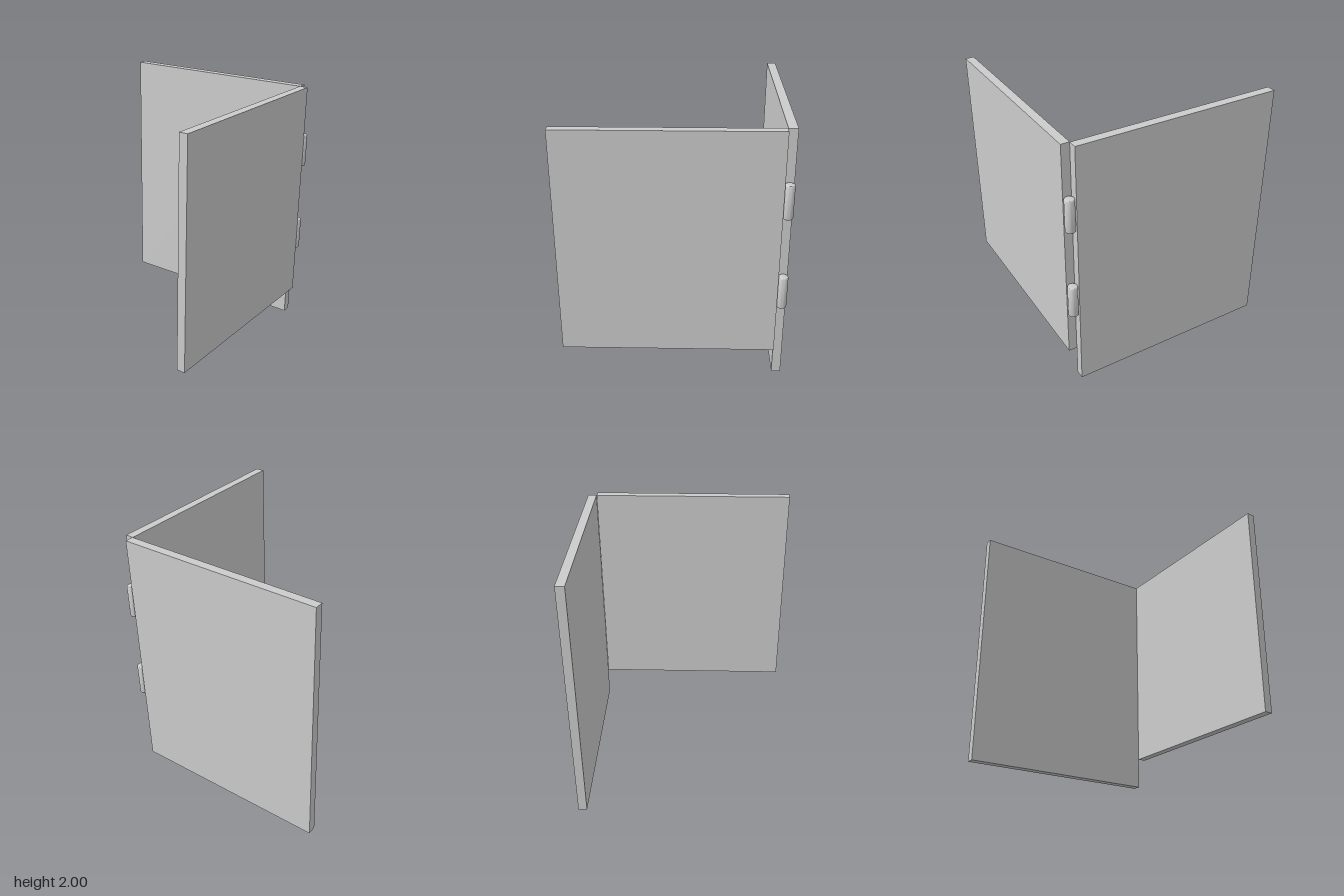
import * as THREE from 'three';
import { toCreasedNormals } from 'three/addons/utils/BufferGeometryUtils.js';

export function createModel() {
  const model = new THREE.Group();
  const material = new THREE.MeshStandardMaterial({ color: 0xcccccc });

  // Box given by its lower and upper corners
  const panel = (name, lo, hi) => {
    const size = hi.map((v, i) => v - lo[i]);
    const mesh = new THREE.Mesh(new THREE.BoxGeometry(...size), material);
    mesh.position.set(...hi.map((v, i) => (v + lo[i]) / 2));
    mesh.name = name;
    model.add(mesh);
  };

  // Two panels meeting at a right angle; the front one hangs clear of the floor
  panel('frontPanel', [-0.837, 0.25, 0.764], [0.76, 2, 0.83]);
  panel('sidePanel', [0.762, 0, -0.837], [0.83, 2, 0.766]);

  // Hinge barrel with softly rounded rims
  const radius = 0.037, height = 0.262, round = 0.011;
  const profile = [new THREE.Vector2(0, 0)];
  for (const end of [0, 1]) {
    for (let i = 0; i <= 4; i++) {
      const a = (end ? i : i - 4) * Math.PI / 8;
      profile.push(new THREE.Vector2(
        radius - round + round * Math.cos(a),
        (end ? height - round : round) + round * Math.sin(a)));
    }
  }
  profile.push(new THREE.Vector2(0, height));
  const barrel = toCreasedNormals(new THREE.LatheGeometry(profile, 32), 0.6);

  [['lowerHinge', 0.622], ['upperHinge', 1.35]].forEach(([name, y]) => {
    const hinge = new THREE.Mesh(barrel, material);
    hinge.position.set(0.796, y, 0.8);
    hinge.name = name;
    model.add(hinge);
  });

  return model;
}
